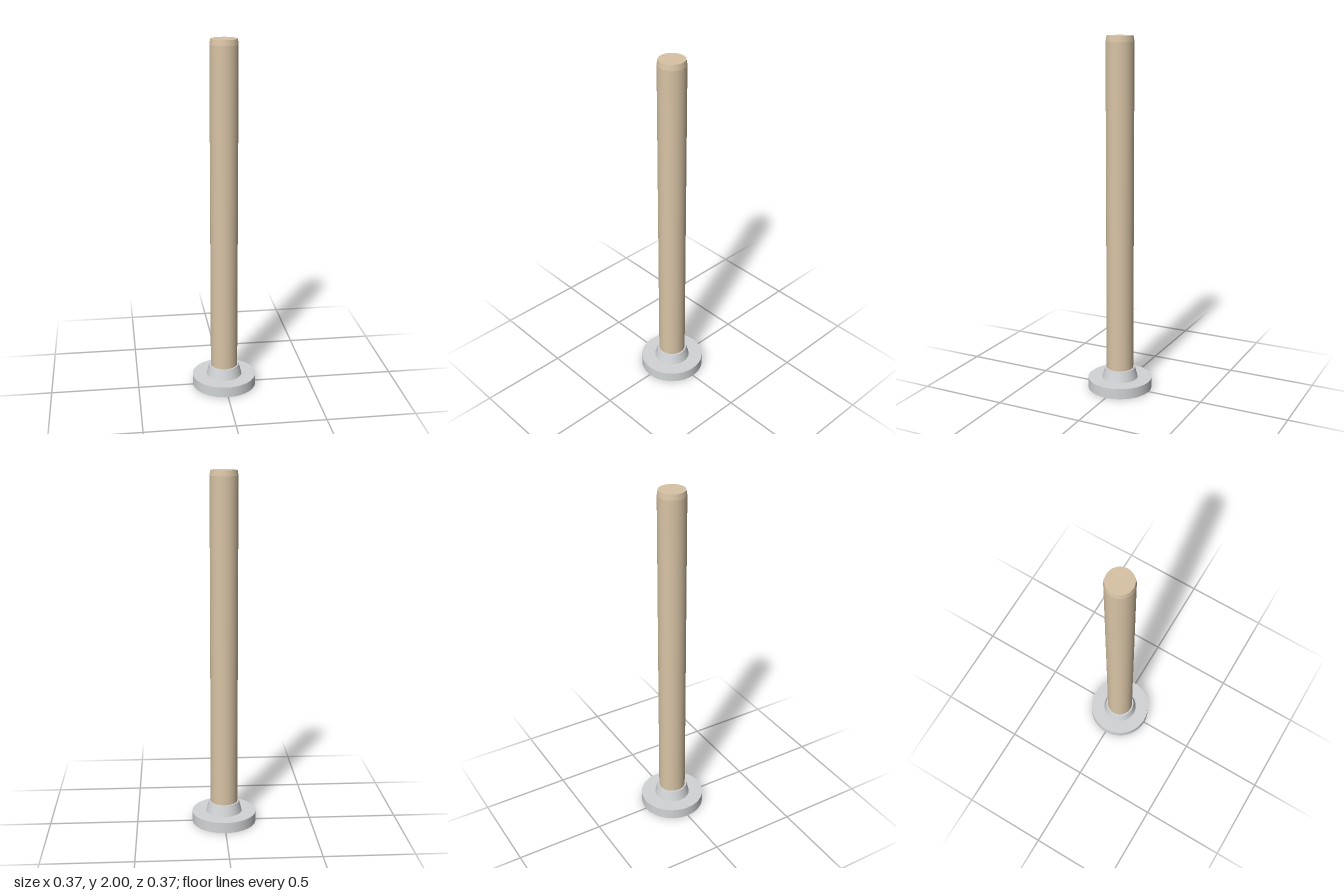
import * as THREE from 'three';

export function createModel() {
  const model = new THREE.Group();
  model.name = 'postOnBase';
  const wood = new THREE.MeshStandardMaterial({ color: 0xd8c3a5 });
  wood.name = 'pale wood';
  const metal = new THREE.MeshStandardMaterial({ color: 0xd1d4d6 });
  metal.name = 'light grey metal';

  // Upright round part standing between two heights
  function addRound(name, material, rTop, rBottom, y0, y1, open = false) {
    const geometry = new THREE.CylinderGeometry(rTop, rBottom, y1 - y0, 48, 1, open);
    const mesh = new THREE.Mesh(geometry, material);
    mesh.name = name;
    mesh.position.y = (y0 + y1) / 2;
    model.add(mesh);
  }

  // Base disc and the tapered socket on it
  addRound('baseFlange', metal, 0.183, 0.183, 0, 0.061);
  addRound('taperedCollar', metal, 0.086, 0.102, 0.061, 0.122);

  // Round post with a slim chamfer at its top end
  addRound('postShaft', wood, 0.077, 0.077, 0.122, 1.97, true);
  addRound('postChamferedEnd', wood, 0.072, 0.077, 1.97, 2);

  return model;
}
